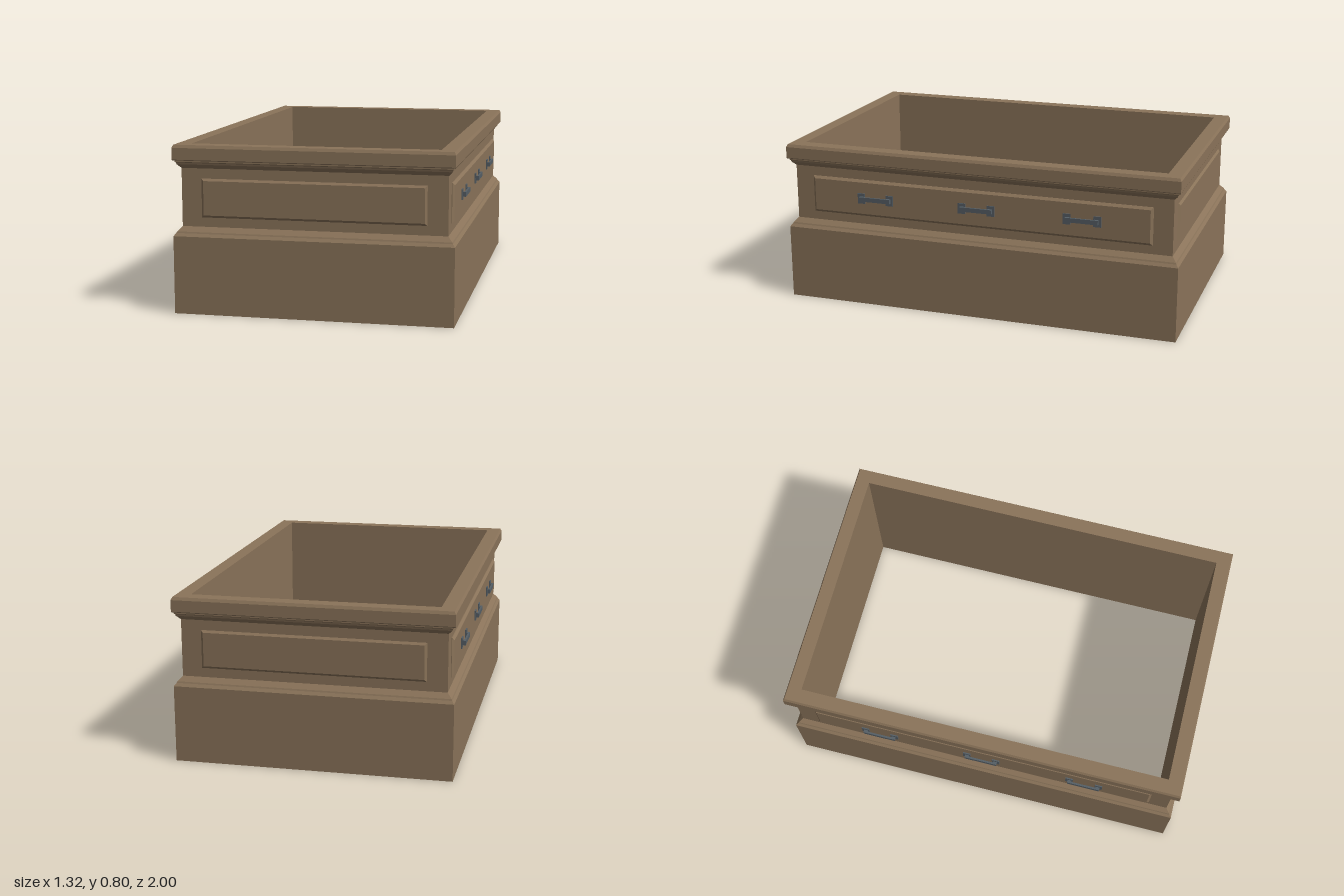
import * as THREE from 'three';

const wood = new THREE.MeshStandardMaterial({ color: 0x8b745a, flatShading: true });
const metal = new THREE.MeshStandardMaterial({ color: 0x565f66, flatShading: true });
const HALF_X = 0.662, HALF_Z = 1;
const BODY_INSET = 0.035, WALL = 0.075;

// Sweeps a profile of [inset, y] points around the rectangular plan with mitred corners
function mouldingRing(name, profile) {
  const corners = [[1, 1], [1, -1], [-1, -1], [-1, 1]];
  const at = (c, [inset, y]) => [c[0] * (HALF_X - inset), y, c[1] * (HALF_Z - inset)];
  const pos = [];
  for (let i = 0; i < profile.length - 1; i++) {
    corners.forEach((c, k) => {
      const next = corners[(k + 1) % 4];
      const a = at(c, profile[i]), b = at(next, profile[i]);
      const d = at(c, profile[i + 1]), e = at(next, profile[i + 1]);
      pos.push(...a, ...b, ...e, ...a, ...e, ...d);
    });
  }
  const geo = new THREE.BufferGeometry();
  geo.setAttribute('position', new THREE.Float32BufferAttribute(pos, 3));
  geo.computeVertexNormals();
  const mesh = new THREE.Mesh(geo, wood);
  mesh.name = name;
  return mesh;
}

// Raised panel with chamfered edges, facing +z, its back sunk into the wall
function raisedPanel(name, width, height, rise) {
  const bevel = 0.012, w = width / 2 - bevel, h = height / 2 - bevel;
  const shape = new THREE.Shape([
    new THREE.Vector2(-w, -h), new THREE.Vector2(w, -h),
    new THREE.Vector2(w, h), new THREE.Vector2(-w, h),
  ]);
  const geo = new THREE.ExtrudeGeometry(shape, {
    depth: 0.006, bevelEnabled: true, bevelSize: bevel, bevelThickness: 0.01, bevelSegments: 1,
  });
  geo.translate(0, 0, rise - 0.016);
  const mesh = new THREE.Mesh(geo, wood);
  mesh.name = name;
  return mesh;
}

// Bar pull facing +z: two square plates, two posts and a grip
function pullHandle() {
  const handle = new THREE.Group();
  handle.name = 'pullHandle';
  const box = (name, w, h, d, x, z) => {
    const mesh = new THREE.Mesh(new THREE.BoxGeometry(w, h, d), metal);
    mesh.name = name;
    mesh.position.set(x, 0, z);
    handle.add(mesh);
  };
  for (const s of [-1, 1]) {
    box('handlePlate', 0.038, 0.052, 0.006, s * 0.075, 0.003);
    box('handlePost', 0.02, 0.022, 0.018, s * 0.072, 0.01);
  }
  box('handleGrip', 0.164, 0.022, 0.009, 0, 0.0165);
  return handle;
}

export function createModel() {
  const model = new THREE.Group();
  model.name = 'pedestalFrame';

  // Walls, from the floor edge up to the top rim
  model.add(
    mouldingRing('plinth', [[WALL, 0], [0, 0], [0, 0.37], [0.011, 0.384], [0.014, 0.391], [BODY_INSET, 0.414]]),
    mouldingRing('body', [[BODY_INSET, 0.414], [BODY_INSET, 0.689]]),
    mouldingRing('cornice', [[BODY_INSET, 0.689], [0.017, 0.708], [0.015, 0.716], [0.01, 0.72], [0.01, 0.727]]),
    mouldingRing('topRail', [[0.01, 0.727], [0.002, 0.727], [0, 0.731], [0, 0.786], [0.007, 0.8], [WALL, 0.8]]),
    mouldingRing('innerLining', [[WALL, 0.8], [WALL, 0]]),
  );

  // One panel per side; the long sides carry three handles
  const panelY = 0.55, rise = 0.013;
  for (const s of [1, -1]) {
    const end = raisedPanel(s > 0 ? 'frontPanel' : 'backPanel', 1.065, 0.186, 0.009);
    end.position.set(0, panelY, s * (HALF_Z - BODY_INSET));
    end.rotation.y = s > 0 ? 0 : Math.PI;
    model.add(end);

    const side = new THREE.Group();
    side.name = s > 0 ? 'leftSide' : 'rightSide';
    side.position.set(s * (HALF_X - BODY_INSET), panelY, 0);
    side.rotation.y = s * Math.PI / 2;
    side.add(raisedPanel('sidePanel', 1.74, 0.186, rise));
    for (const x of [-0.53, 0, 0.53]) {
      const handle = pullHandle();
      handle.position.set(x, 0, rise);
      side.add(handle);
    }
    model.add(side);
  }
  return model;
}
